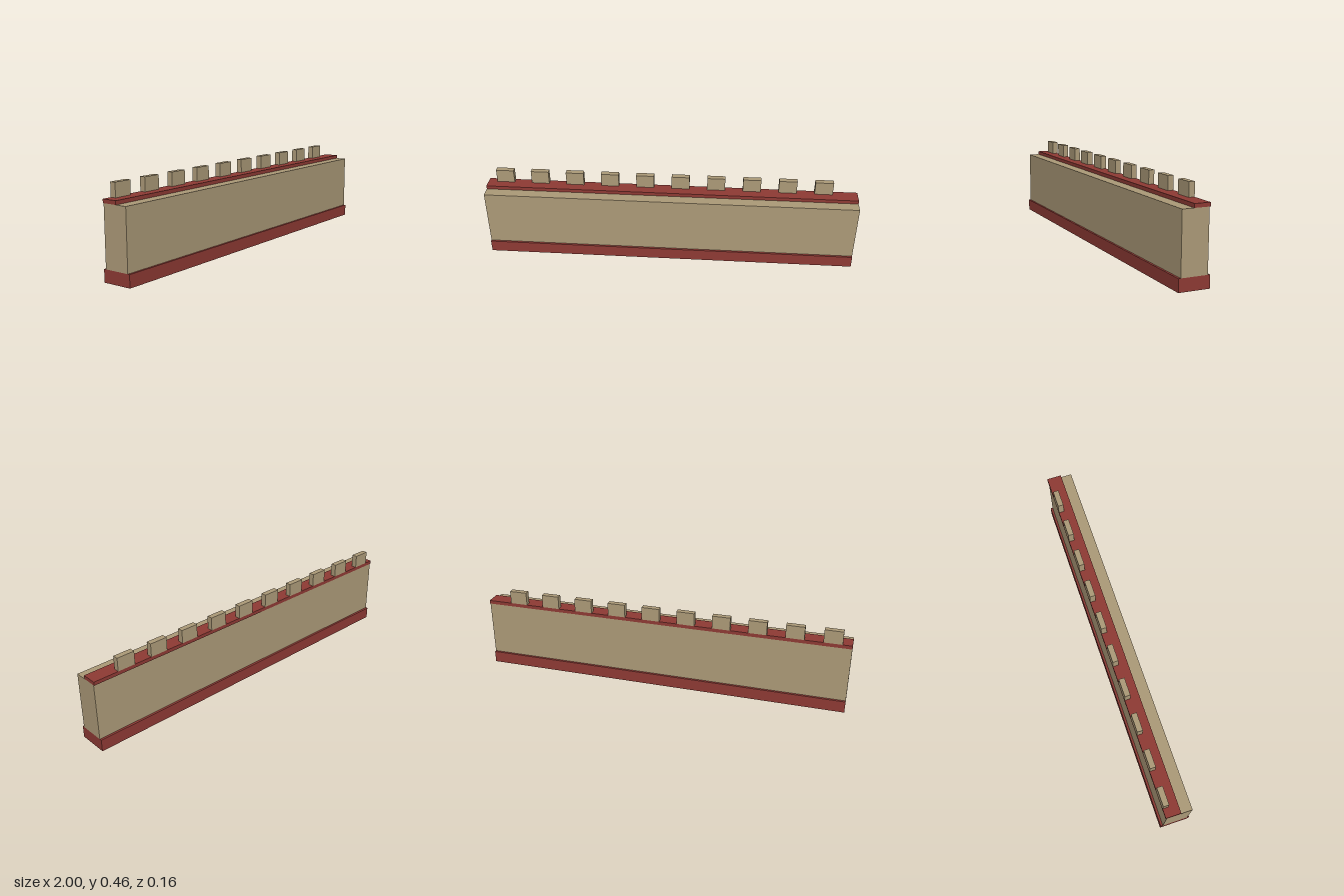
import * as THREE from 'three';

export function createModel() {
  const model = new THREE.Group();
  const stone = new THREE.MeshStandardMaterial({ color: 0xac9a78 });
  stone.name = 'sandstone';
  const brick = new THREE.MeshStandardMaterial({ color: 0x8e3a34 });
  brick.name = 'red brick';

  // Box given by its extents along each axis
  function block(name, material, [x0, x1], [y0, y1], [z0, z1]) {
    const mesh = new THREE.Mesh(new THREE.BoxGeometry(x1 - x0, y1 - y0, z1 - z0), material);
    mesh.position.set((x0 + x1) / 2, (y0 + y1) / 2, (z0 + z1) / 2);
    mesh.name = name;
    model.add(mesh);
  }

  const length = [-1, 1];
  block('basePlinth', brick, length, [0, 0.064], [-0.079, 0.079]);
  block('wallBody', stone, length, [0.064, 0.367], [-0.067, 0.068]);
  block('parapetCourse', brick, length, [0.367, 0.386], [-0.072, 0.008]);

  // Row of merlons along the back edge
  for (let i = 0; i < 10; i++) {
    const x = -0.903 + i * 0.1913;
    block(`merlon${i + 1}`, stone, [x - 0.048, x + 0.048], [0.386, 0.457], [-0.072, -0.042]);
  }
  return model;
}
